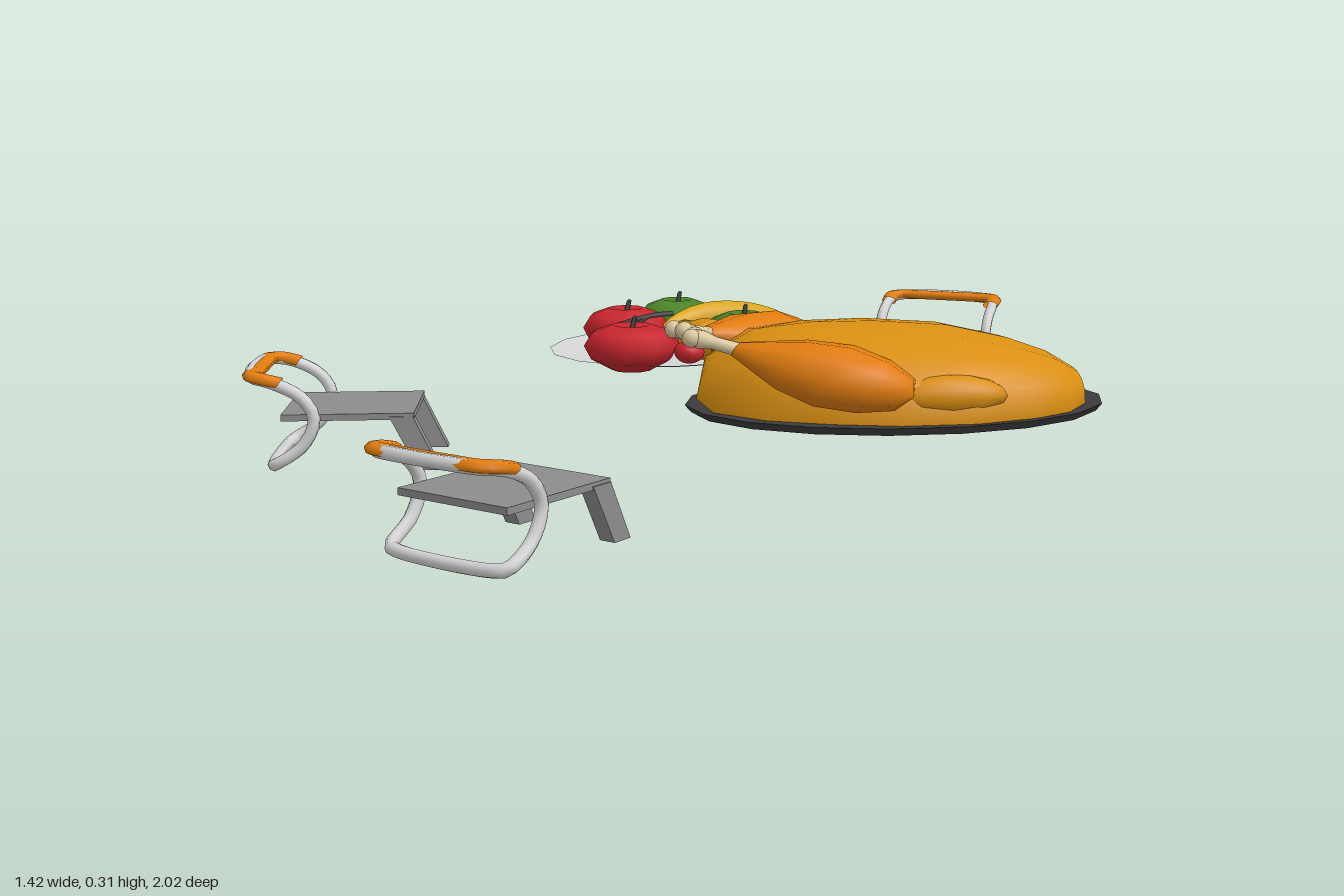
import * as THREE from 'three';
import { mergeVertices } from 'three/addons/utils/BufferGeometryUtils.js';

const V = (x, y, z) => new THREE.Vector3(x, y, z);
const mat = (name, color, side = THREE.FrontSide) => {
  const m = new THREE.MeshStandardMaterial({ color, side });
  m.name = name;
  return m;
};
const M = {
  seat: mat('seat grey', 0x8c8c8c),
  silver: mat('pale grey', 0xd4d4d4, THREE.DoubleSide),
  orange: mat('deep orange', 0xe07c10, THREE.DoubleSide),
  roast: mat('roast gold', 0xda8f12),
  bone: mat('bone cream', 0xdcc8a0),
  dark: mat('charcoal', 0x3c3a3c),
  red: mat('red', 0xc8262e),
  green: mat('green', 0x4c8428),
  yellow: mat('yellow', 0xe0aa12),
};

function add(parent, name, geometry, material, x = 0, y = 0, z = 0) {
  const mesh = new THREE.Mesh(geometry, material);
  mesh.name = name;
  mesh.position.set(x, y, z);
  parent.add(mesh);
  return mesh;
}

// Lathe with welded seam and smooth normals
function smoothLathe(profile, sides) {
  return new THREE.LatheGeometry(profile.map(p => new THREE.Vector2(...p)), sides);
}

// Lathe laid from point a to point b; profile = [radius, fraction of length], squashed in y
function limb(a, b, profile, squash, sides = 10) {
  const d = b.clone().sub(a);
  d.y /= squash;
  const len = d.length();
  const g = smoothLathe(profile.map(([r, t]) => [r, t * len]), sides);
  g.applyQuaternion(new THREE.Quaternion().setFromUnitVectors(V(0, 1, 0), d.normalize()));
  return g.scale(1, squash, 1).translate(a.x, a.y, a.z);
}

function tube(points, radius, segments, sides, closed = false) {
  return new THREE.TubeGeometry(new THREE.CatmullRomCurve3(points, closed), segments, radius, sides, closed);
}

function chair(x, z, angle) {
  const g = new THREE.Group();
  g.name = 'chair';
  g.position.set(x, 0, z);
  g.rotation.y = angle;
  add(g, 'seat', new THREE.BoxGeometry(0.225, 0.012, 0.24), M.seat, 0, 0.1, 0);

  // Curved rear frame: one closed loop, mirrored left to right
  const side = [[0.1, 0.012, -0.137], [0.12, 0.016, -0.13], [0.125, 0.05, -0.08], [0.125, 0.1, -0.058],
    [0.125, 0.14, -0.08], [0.122, 0.168, -0.135], [0.105, 0.174, -0.168]];
  const loop = [...side.map(p => V(...p)), ...side.slice().reverse().map(([px, py, pz]) => V(-px, py, pz))];
  add(g, 'rearFrame', tube(loop, 0.0115, 64, 8, true), M.silver);

  // Flattened back rest wrapped round the top of the frame
  const flat = 0.6;
  const top = [[0.121, 0.166, -0.118], [0.121, 0.174, -0.15], [0.105, 0.176, -0.168], [0.05, 0.176, -0.17]];
  const bar = [...top, ...top.slice().reverse().map(([px, py, pz]) => [-px, py, pz])]
    .map(([px, py, pz]) => V(px, py / flat, pz));
  add(g, 'backRest', tube(bar, 0.018, 30, 8).scale(1, flat, 1), M.orange);

  // Slanted front legs
  const shape = new THREE.Shape([[0.075, 0.1], [0.125, 0], [0.165, 0], [0.118, 0.1]].map(p => new THREE.Vector2(...p)));
  const leg = new THREE.ExtrudeGeometry(shape, { depth: 0.03, bevelEnabled: false });
  leg.translate(0, 0, -0.015).rotateY(-Math.PI / 2);
  for (const s of [-1, 1]) add(g, 'frontLeg', leg, M.seat, s * 0.1, 0, 0);
  return g;
}

function roast() {
  const g = new THREE.Group();
  g.name = 'roastBird';
  const base = new THREE.Group();
  base.name = 'trayAndBody';
  base.position.set(0.4, 0, 0.075);
  base.rotation.y = -0.707;
  g.add(base);

  // Oval tray
  add(base, 'tray', new THREE.CylinderGeometry(1, 0.97, 0.013, 18).scale(0.255, 1, 0.37), M.dark, 0, 0.151, 0);

  // Body: stations of [half width, position, height], domed above and flat below
  const st = [[0, -0.335, 0], [0.08, -0.32, 0.05], [0.155, -0.27, 0.08], [0.2, -0.2, 0.105], [0.235, -0.09, 0.13],
    [0.235, 0.04, 0.14], [0.205, 0.15, 0.14], [0.16, 0.25, 0.13], [0.08, 0.33, 0.085], [0, 0.35, 0]];
  let body = new THREE.LatheGeometry(st.map(([w, s]) => new THREE.Vector2(w, s)), 16).rotateX(Math.PI / 2);
  const p = body.attributes.position;
  for (let i = 0; i < p.count; i++) {
    const [w, , h] = st[i % st.length];
    const y = p.getY(i);
    p.setY(i, w ? (y > 0 ? Math.pow(y / w, 0.8) * h : y * 0.01) : 0.01);
  }
  body.deleteAttribute('uv');
  body.deleteAttribute('normal');
  body = mergeVertices(body);
  body.computeVertexNormals();
  add(base, 'body', body, M.roast, 0, 0.158, 0);

  // Folded wings
  for (const s of [-1, 1]) {
    const wing = add(base, 'wing', new THREE.SphereGeometry(1, 10, 8), M.roast, s * 0.2, 0.2, -0.05);
    wing.scale.set(0.035, 0.035, 0.1);
  }

  // Drumsticks with bare bone ends
  const meat = [[0, 0], [0.045, 0.04], [0.075, 0.18], [0.087, 0.36], [0.07, 0.55], [0.04, 0.7], [0.02, 0.8], [0, 0.82]];
  const shank = [[0, 0.72], [0.015, 0.74], [0.014, 0.9], [0.02, 0.96], [0.018, 1], [0, 1.02]];
  for (const [a, b] of [
    [V(0.135, 0.215, -0.01), V(0.16, 0.29, 0.37)],
    [V(0.565, 0.205, 0.24), V(0.24, 0.292, 0.42)],
  ]) {
    add(g, 'drumstick', limb(a, b, meat, 0.62), M.orange);
    add(g, 'legBone', limb(a, b, shank, 0.8), M.bone);
    for (const s of [-1, 1]) {
      const d = b.clone().sub(a).normalize();
      add(g, 'boneKnob', new THREE.SphereGeometry(0.016, 8, 6), M.bone, b.x + s * d.z * 0.012, b.y, b.z - s * d.x * 0.012);
    }
  }
  return g;
}

function fruitPlate() {
  const g = new THREE.Group();
  g.name = 'fruitPlate';
  const dish = smoothLathe([[0, 0.14], [0.62, 0.14], [1, 0.159]], 16).scale(0.243, 1, 0.28);
  add(g, 'plate', dish, M.silver, -0.293, 0, -0.105);

  // Apples with stems
  const apple = smoothLathe([[0, -0.8], [0.4, -1], [0.85, -0.5], [1, 0.1], [0.82, 0.65], [0.4, 0.95], [0, 0.65]], 10);
  for (const [x, z, r, m] of [[-0.44, -0.255, 0.084, M.green], [-0.2, -0.2, 0.084, M.green],
    [-0.43, -0.09, 0.09, M.red], [-0.255, 0.069, 0.095, M.red]]) {
    add(g, 'apple', apple, m, x, 0.18, z).scale.set(r, 0.046, r);
    const stem = [V(x, 0.205, z), V(x - 0.01, 0.222, z - 0.015), V(x - 0.03, 0.23, z - 0.04)];
    add(g, 'appleStem', tube(stem, 0.005, 4, 5), M.dark);
  }

  // Cherries, with stems meeting near the middle
  for (const [x, z, r] of [[-0.108, -0.047, 0.031], [-0.145, 0.021, 0.03], [-0.367, 0.032, 0.036]]) {
    add(g, 'cherry', new THREE.SphereGeometry(r, 10, 8), M.red, x, 0.175, z).scale.y = 0.75;
  }
  for (const end of [V(-0.367, 0.2, 0.025), V(-0.34, 0.2, -0.02)]) {
    add(g, 'cherryStem', tube([V(-0.305, 0.222, -0.1), V(-0.325, 0.22, -0.05), end], 0.005, 5, 5), M.dark);
  }

  // Pear lying on its side
  const pear = [[0, 0], [0.05, 0.06], [0.067, 0.28], [0.055, 0.52], [0.03, 0.75], [0.02, 0.95], [0, 1]];
  add(g, 'pear', limb(V(-0.125, 0.18, -0.05), V(-0.29, 0.2, -0.11), pear, 0.65), M.roast);

  // Bananas: tubes tapered toward both ends
  for (const pts of [
    [V(-0.26, 0.178, -0.405), V(-0.305, 0.19, -0.325), V(-0.35, 0.192, -0.25), V(-0.425, 0.18, -0.19)],
    [V(-0.175, 0.19, -0.335), V(-0.255, 0.2, -0.275), V(-0.32, 0.2, -0.2), V(-0.355, 0.185, -0.115)],
  ]) {
    const curve = new THREE.CatmullRomCurve3(pts);
    const n = 12, sides = 7;
    const geo = new THREE.TubeGeometry(curve, n, 0.034, sides);
    const pos = geo.attributes.position;
    for (let i = 0; i < pos.count; i++) {
      const t = Math.floor(i / (sides + 1)) / n;
      const c = curve.getPointAt(t);
      const k = 0.02 + 0.98 * Math.pow(Math.sin(Math.PI * t), 0.6);
      const v = V(0, 0, 0).fromBufferAttribute(pos, i).sub(c).multiplyScalar(k).add(c);
      pos.setXYZ(i, v.x, v.y, v.z);
    }
    add(g, 'banana', geo, M.yellow);
  }
  return g;
}

export function createModel() {
  const model = new THREE.Group();
  model.name = 'feastSet';
  model.add(
    chair(-0.182, -0.8, 0.37),
    chair(-0.504, 0.555, 2.37),
    chair(0.203, 0.807, Math.PI + 0.11),
    roast(),
    fruitPlate(),
  );
  return model;
}
